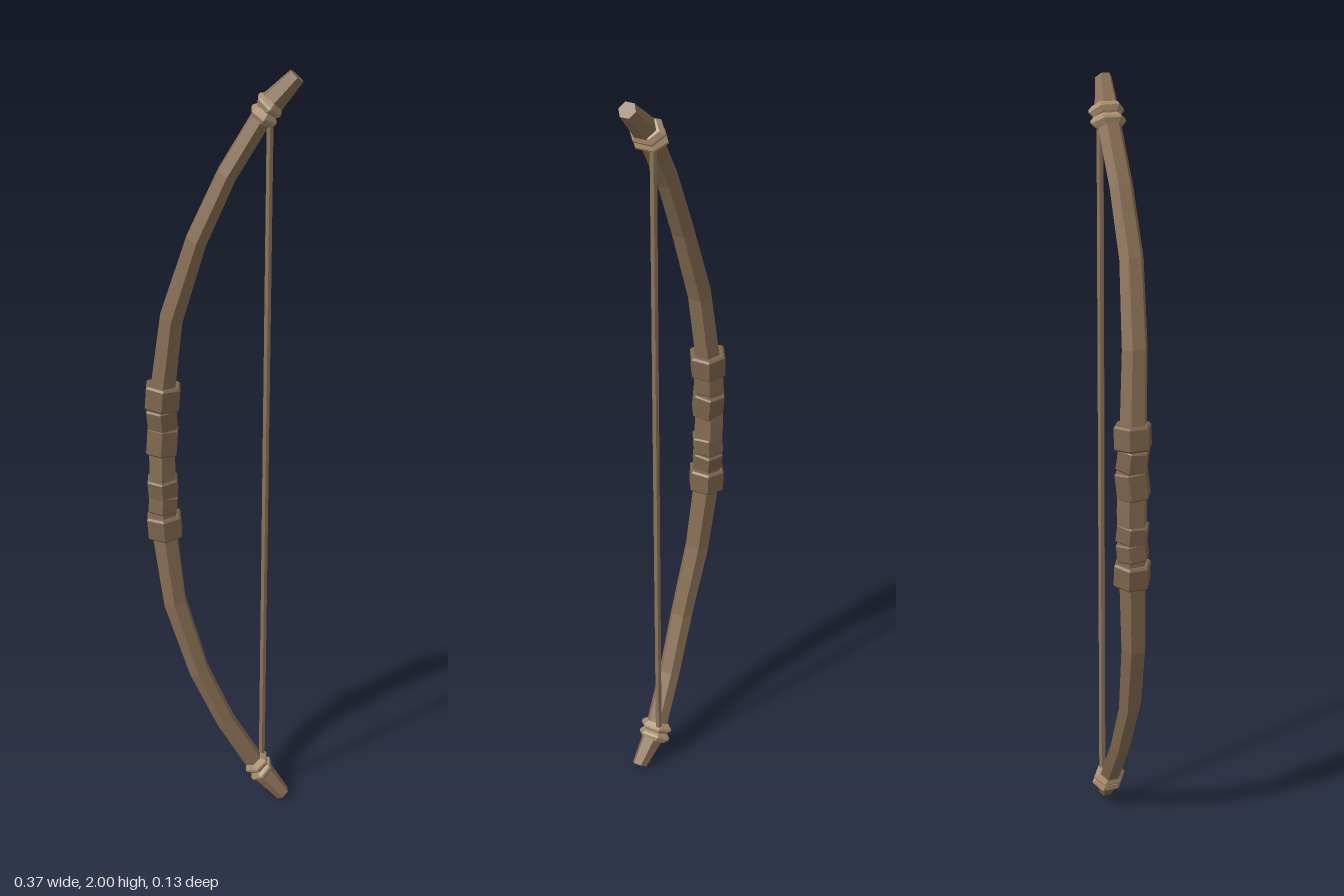
import * as THREE from 'three';

const wood = new THREE.MeshStandardMaterial({ color: 0x896f54 });
const leather = new THREE.MeshStandardMaterial({ color: 0x7e654d });
const binding = new THREE.MeshStandardMaterial({ color: 0xaa9070 });
const cord = new THREE.MeshStandardMaterial({ color: 0x8e765a });
wood.name = 'wood';
leather.name = 'grip leather';
binding.name = 'tip binding';
cord.name = 'string cord';

// Faceted normals
function facet(geometry) {
  const g = geometry.index ? geometry.toNonIndexed() : geometry;
  g.computeVertexNormals();
  return g;
}

// Six-sided loft along [x, y, z, radius across, radius in z] stations, with closed ends
function loft(stations) {
  const pos = [], idx = [], n = 6, last = stations.length - 1;
  stations.forEach(([x, y, z, rx, rz], i) => {
    const a = stations[Math.max(i - 1, 0)], b = stations[Math.min(i + 1, last)];
    const t = new THREE.Vector2(b[0] - a[0], b[1] - a[1]).normalize();
    for (let k = 0; k < n; k++) {
      const u = Math.sin(k * Math.PI / 3) * rx, w = Math.cos(k * Math.PI / 3) * rz;
      pos.push(x + t.y * u, y - t.x * u, z + w);
    }
  });
  for (let i = 0; i < last; i++) {
    for (let k = 0; k < n; k++) {
      const a = i * n + k, b = i * n + (k + 1) % n;
      idx.push(a, b, b + n, a, b + n, a + n);
    }
  }
  for (let k = 1; k < n - 1; k++) {
    idx.push(0, k + 1, k, last * n, last * n + k, last * n + k + 1);
  }
  const g = new THREE.BufferGeometry();
  g.setAttribute('position', new THREE.Float32BufferAttribute(pos, 3));
  g.setIndex(idx);
  return facet(g);
}

// Bevelled six-sided ring around the stave; flatten narrows it across x
function ring(name, material, [x, y, z], radius, height, tiltX, tiltZ, bevel, flatten = 1) {
  const h = height / 2, r = radius - bevel;
  const profile = [[0, -h], [r, -h], [radius, -h + bevel], [radius, h - bevel], [r, h], [0, h]]
    .map(([px, py]) => new THREE.Vector2(px, py));
  const geometry = new THREE.LatheGeometry(profile, 6).scale(flatten, 1, 1);
  const mesh = new THREE.Mesh(facet(geometry), material);
  mesh.name = name;
  mesh.position.set(x, y, z);
  mesh.rotation.set(tiltX, 0, tiltZ);
  return mesh;
}

export function createModel() {
  const bow = new THREE.Group();
  bow.name = 'bow';

  // Curved stave: one limb's stations mirrored about the grip
  const limb = [
    [-0.145, 0.1, -0.016, 0.037, 0.039],
    [-0.142, 0.2, -0.013, 0.035, 0.035],
    [-0.118, 0.395, 0.0, 0.032, 0.033],
    [-0.056, 0.597, 0.016, 0.028, 0.031],
    [0.015, 0.756, 0.018, 0.026, 0.03],
    [0.1, 0.9, 0.019, 0.026, 0.03],
    [0.118, 0.925, 0.021, 0.03, 0.03],
    [0.172, 0.987, 0.034, 0.021, 0.021],
  ];
  const at = (s, y) => [s[0], 1 + y, ...s.slice(2)];
  const stations = [
    ...limb.map((s) => at(s, -s[1])).reverse(),
    [-0.146, 1, -0.017, 0.037, 0.04],
    ...limb.map((s) => at(s, s[1])),
  ];
  const stave = new THREE.Mesh(loft(stations), wood);
  stave.name = 'stave';
  bow.add(stave);

  // Wide bands at both ends of the grip
  for (const side of [-1, 1]) {
    const y = side > 0 ? 1.185 : 0.825;
    bow.add(ring('gripBand', leather, [-0.142, y, -0.014], 0.049, 0.062, 0, side * -0.07, 0.005));
  }

  // Slanted leather turns: [height, radius, width, tilt]
  const turns = [
    [1.128, 0.042, 0.056, 0.1],
    [1.064, 0.044, 0.07, -0.1],
    [0.937, 0.043, 0.048, 0.08],
    [0.889, 0.042, 0.048, -0.1],
  ];
  for (const [y, r, w, tilt] of turns) {
    bow.add(ring('gripWrap', leather, [-0.145, y, -0.015], r, w, tilt, tilt * 0.7, 0.004));
  }

  // Paired bindings where the string meets each tip
  for (const side of [-1, 1]) {
    bow.add(ring('tipBinding', binding, [0.099, 1 + side * 0.894, 0.018], 0.045, 0.028, 0, side * -0.55, 0.011, 0.8));
    bow.add(ring('tipBinding', binding, [0.112, 1 + side * 0.917, 0.018], 0.045, 0.028, 0, side * -0.72, 0.011, 0.8));
  }

  // Bowstring
  const string = new THREE.Mesh(facet(new THREE.CylinderGeometry(0.009, 0.009, 1.8, 6)), cord);
  string.name = 'bowstring';
  string.position.set(0.114, 1, 0.003);
  bow.add(string);

  return bow;
}
